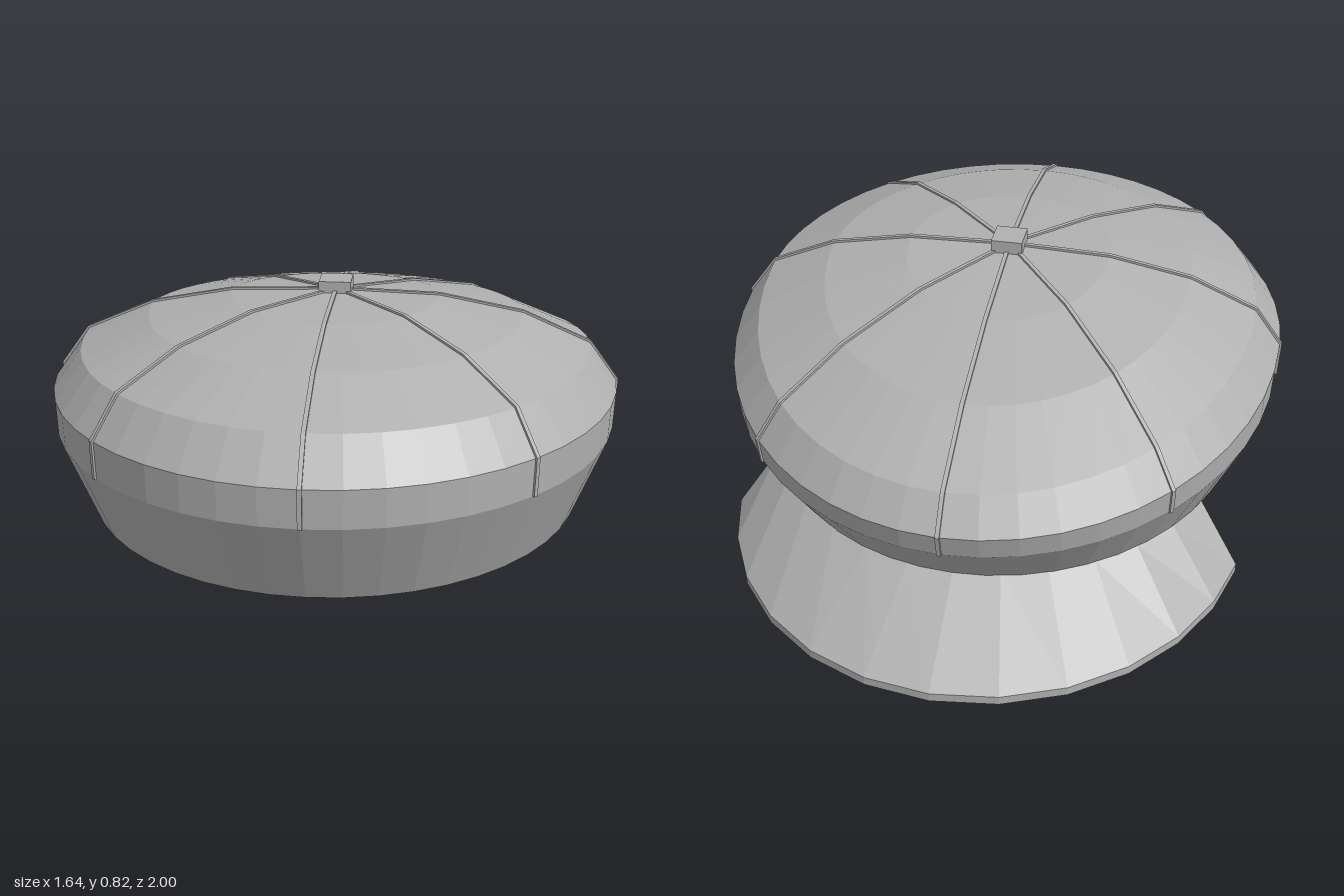
import * as THREE from 'three';

const CENTRE_Z = 0.1;

// Crown rings: half width, front depth, back depth, height, drop per unit towards the back
const RINGS = [
  [0.715, 0.785, 0.80, 0.19, 0],
  [0.81, 0.893, 0.945, 0.43, 0.053],
  [0.815, 0.893, 0.962, 0.535, 0.088],
  [0.735, 0.80, 0.89, 0.645, 0.115],
  [0.54, 0.59, 0.65, 0.73, 0.115],
  [0.30, 0.32, 0.35, 0.775, 0.115],
  [0, 0, 0, 0.784, 0],
];

// Point on a ring; angle 0 is the front, growing towards +x
function ringPoint([rx, front, back, y, drop], a) {
  const c = Math.cos(a);
  const dz = c * (c > 0 ? front : back);
  return new THREE.Vector3(rx * Math.sin(a), y + drop * Math.min(dz, 0), CENTRE_Z + dz);
}

// Faceted skin over rows of points; each row is a closed loop
function loft(rows, capped) {
  const n = rows[0].length;
  const pos = [];
  const tri = (...pts) => pts.forEach((p) => pos.push(p.x, p.y, p.z));
  for (let i = 0; i < rows.length - 1; i++) {
    for (let j = 0; j < n; j++) {
      const k = (j + 1) % n;
      const a = rows[i][j], b = rows[i][k], c = rows[i + 1][k], d = rows[i + 1][j];
      tri(a, b, c);
      if (!c.equals(d)) tri(a, c, d);
    }
  }
  if (capped) {
    const s = rows[0], e = rows[rows.length - 1];
    for (let j = 1; j < n - 1; j++) {
      tri(s[0], s[j + 1], s[j]);
      tri(e[0], e[j], e[j + 1]);
    }
  }
  const g = new THREE.BufferGeometry();
  g.setAttribute('position', new THREE.Float32BufferAttribute(pos, 3));
  g.computeVertexNormals();
  return g;
}

// Raised strip following the crown from its widest band to the top
function seamGeometry(a) {
  const path = RINGS.slice(1).map((r) => ringPoint(r, a));
  const side = new THREE.Vector3(Math.cos(a), 0, -Math.sin(a));
  const rows = path.map((p, i) => {
    const along = path[Math.min(i + 1, path.length - 1)].clone().sub(path[Math.max(i - 1, 0)]);
    const out = side.clone().cross(along).normalize();
    return [[-1, 1], [1, 1], [1, -1], [-1, -1]].map(([s, o]) =>
      p.clone().addScaledVector(side, s * 0.006).addScaledVector(out, o * 0.006));
  });
  return loft(rows, true);
}

// Curved visor, narrow at its ends and widest in the middle
function brimGeometry() {
  const steps = 12, half = THREE.MathUtils.degToRad(63.4);
  const rows = [];
  for (let i = 0; i <= steps; i++) {
    const u = i / steps;
    const a = Math.PI + (2 * u - 1) * half;
    const width = 0.134 + 0.166 * Math.sin(Math.PI * u);
    const at = (w, y) => ringPoint([0.715 + w, 0.8 + w, 0.8 + w, y, 0], a);
    rows.push([at(0, 0.2), at(width, 0.026), at(width, 0), at(0, 0.174)]);
  }
  return loft(rows, true);
}

export function createModel() {
  const model = new THREE.Group();
  model.name = 'flatCap';
  const cloth = new THREE.MeshStandardMaterial({ color: 0xb0b0b0, side: THREE.DoubleSide });
  cloth.name = 'grey cloth';
  const add = (name, geometry, parent = model) => {
    const mesh = new THREE.Mesh(geometry, cloth);
    mesh.name = name;
    parent.add(mesh);
    return mesh;
  };

  // Hollow crown with headband, open underneath
  const segments = 48;
  add('crown', loft(RINGS.map((r) =>
    Array.from({ length: segments }, (_, j) => ringPoint(r, (j / segments) * Math.PI * 2)))));

  // Eight panel seams
  const seams = new THREE.Group();
  seams.name = 'seams';
  model.add(seams);
  for (let i = 0; i < 8; i++) add('seam', seamGeometry((i * Math.PI) / 4), seams);

  // Square button on top
  add('button', new THREE.BoxGeometry(0.092, 0.04, 0.092)).position.set(0, 0.796, 0.097);

  add('brim', brimGeometry());
  return model;
}
